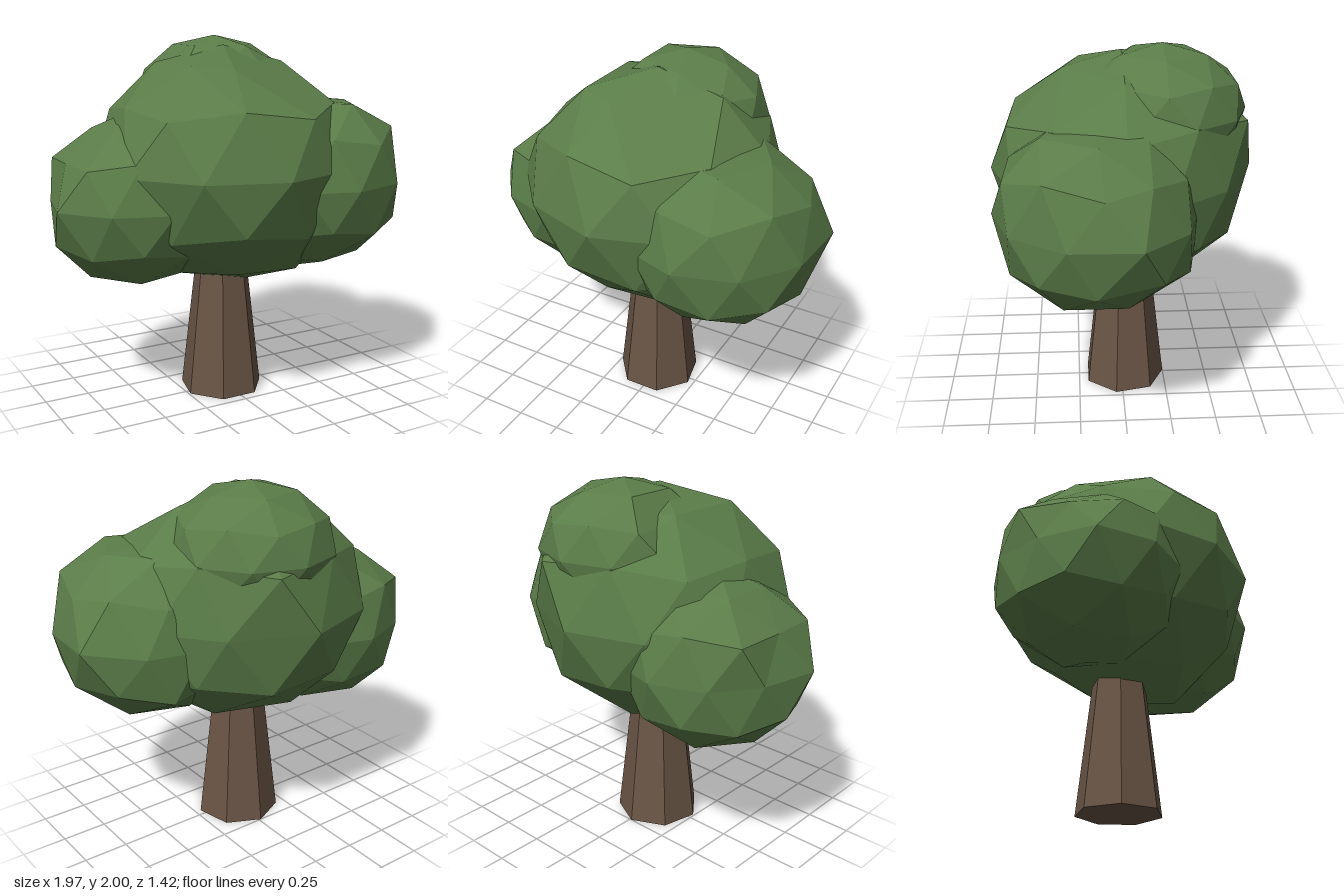
import * as THREE from 'three';

const leafMaterial = new THREE.MeshStandardMaterial({ color: 0x5b7d49, flatShading: true });
const barkMaterial = new THREE.MeshStandardMaterial({ color: 0x6a5545, flatShading: true });

// Move the corner nearest to the target onto it, in every face that shares it
function pullCorner(position, target) {
  const corner = new THREE.Vector3();
  const nearest = new THREE.Vector3(Infinity, 0, 0);
  for (let i = 0; i < position.count; i++) {
    corner.fromBufferAttribute(position, i);
    if (corner.distanceTo(target) < nearest.distanceTo(target)) nearest.copy(corner);
  }
  for (let i = 0; i < position.count; i++) {
    corner.fromBufferAttribute(position, i);
    if (corner.distanceTo(nearest) < 1e-4) position.setXYZ(i, target.x, target.y, target.z);
  }
}

// Faceted ball with a corner at each pole and a level ten-sided equator,
// made irregular by pulling some of its corners
function leafBall(name, [x, y, z], radius, halfHeight, pulledCorners) {
  const geometry = new THREE.IcosahedronGeometry(1, 1);
  geometry.rotateX(-Math.atan((1 + Math.sqrt(5)) / 2));
  geometry.rotateY(Math.PI / 2);
  geometry.scale(radius, halfHeight, radius);
  geometry.translate(x, y, z);
  for (const corner of pulledCorners) {
    pullCorner(geometry.attributes.position, new THREE.Vector3(...corner));
  }
  geometry.computeVertexNormals();
  const mesh = new THREE.Mesh(geometry, leafMaterial);
  mesh.name = name;
  return mesh;
}

export function createModel() {
  const tree = new THREE.Group();
  tree.name = 'tree';

  // Seven-sided tapering trunk, its top hidden in the leaves
  const height = 0.9;
  const trunk = new THREE.Mesh(
    new THREE.CylinderGeometry(0.13, 0.235, height, 7, 1, false, Math.PI),
    barkMaterial
  );
  trunk.name = 'trunk';
  trunk.position.set(-0.012, height / 2, -0.015);
  tree.add(trunk);

  // Overlapping clumps of leaves
  const crown = new THREE.Group();
  crown.name = 'crown';
  crown.add(
    leafBall('mainLeaves', [-0.01, 1.315, 0], 0.71, 0.64, [
      [-0.7, 1.32, 0.26], [-0.59, 1.64, 0], [-0.11, 1.84, 0.31],
      [0.2, 1.62, -0.65], [0.42, 1.31, -0.52],
      [0.1, 0.65, 0.07], [0.32, 0.72, 0.25], [-0.35, 0.73, 0]
    ]),
    leafBall('leftLeaves', [0.46, 1.22, 0.16], 0.53, 0.5, [
      [0.98, 1.23, -0.06], [0.95, 1.22, 0.3], [0.75, 1.22, 0.58], [0.43, 1.22, 0.68],
      [0.74, 1.22, -0.3], [0.91, 1.45, 0.12], [0.83, 1.51, 0.41], [0.7, 1.64, 0.14],
      [0.43, 1.66, 0.15], [0.84, 1, -0.17], [0.6, 0.95, -0.32], [0.42, 0.7, 0.13]
    ]),
    leafBall('rightLeaves', [-0.495, 1.14, -0.11], 0.51, 0.48, [
      [-0.99, 1.14, 0.05], [-0.92, 1.14, -0.26], [-0.76, 1.14, -0.5], [-0.48, 1.14, -0.61],
      [-0.88, 1.36, -0.11], [-0.68, 1.52, 0.03], [-0.68, 1.52, -0.25], [-0.48, 0.66, -0.11]
    ]),
    leafBall('topLeaves', [0.05, 1.65, -0.21], 0.45, 0.35, [[-0.28, 1.8, -0.24]])
  );
  tree.add(crown);

  return tree;
}
